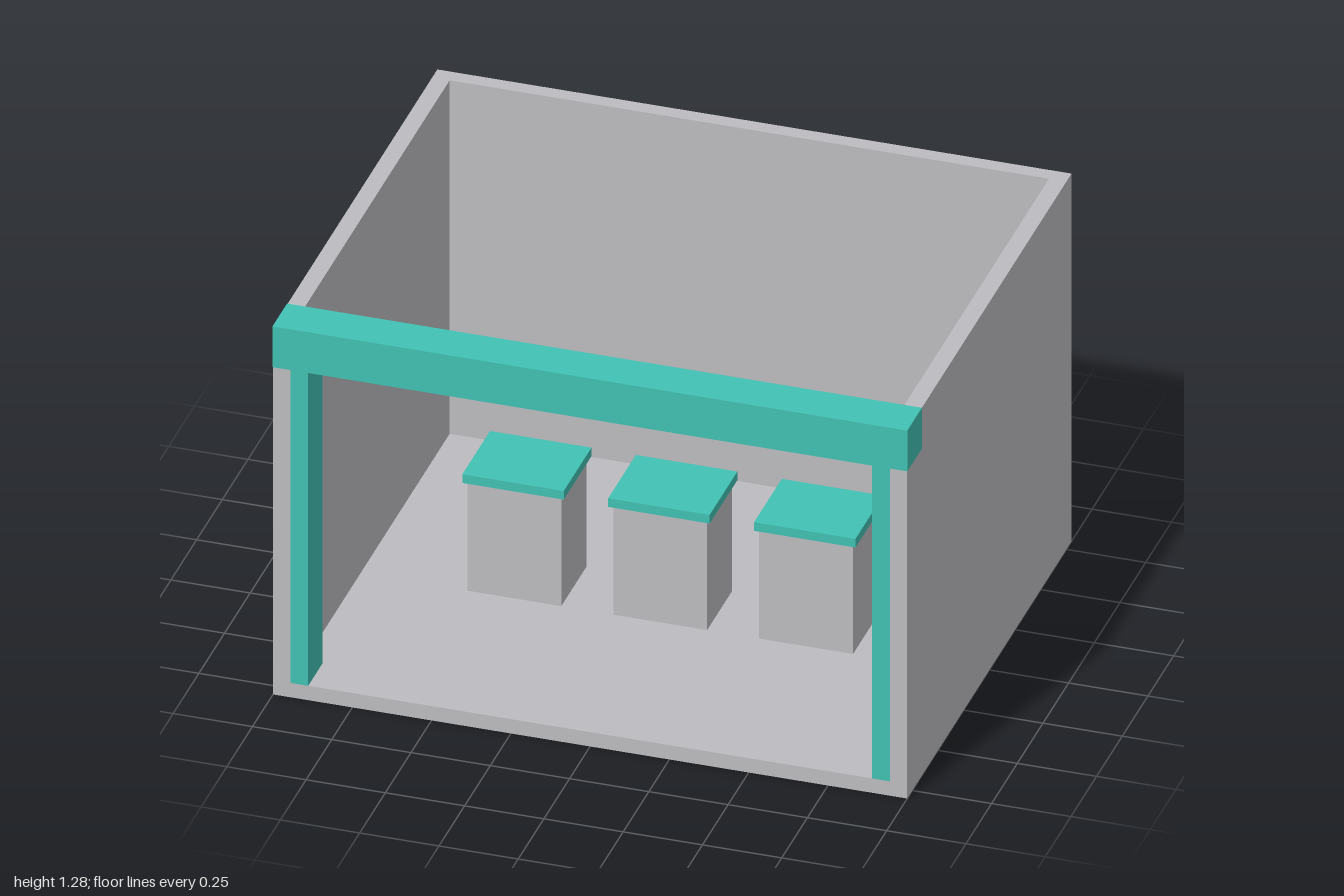
import * as THREE from 'three';

export function createModel() {
  const model = new THREE.Group();
  model.name = 'openRoom';
  const grey = new THREE.MeshStandardMaterial({ name: 'wall grey', color: 0xbcbcc0 });
  const teal = new THREE.MeshStandardMaterial({ name: 'teal trim', color: 0x41c1b3 });

  function add(parent, name, geometry, material) {
    const mesh = new THREE.Mesh(geometry, material);
    mesh.name = name;
    parent.add(mesh);
    return mesh;
  }
  // Box given by its lower and upper limits on each axis
  function box(parent, name, material, [x0, x1], [y0, y1], [z0, z1]) {
    const mesh = add(parent, name, new THREE.BoxGeometry(x1 - x0, y1 - y0, z1 - z0), material);
    mesh.position.set((x0 + x1) / 2, (y0 + y1) / 2, (z0 + z1) / 2);
  }

  // Floor slab
  box(model, 'floor', grey, [-1, 1], [0, 0.05], [-0.8, 0.8]);

  // Side and back walls as one U-shaped plan; shape y becomes -z
  const plan = new THREE.Shape([
    [-1, -0.8], [-0.945, -0.8], [-0.945, 0.75], [0.945, 0.75],
    [0.945, -0.8], [1, -0.8], [1, 0.8], [-1, 0.8],
  ].map(([x, y]) => new THREE.Vector2(x, y)));
  const walls = new THREE.ExtrudeGeometry(plan, { depth: 1.23, bevelEnabled: false });
  walls.rotateX(-Math.PI / 2).translate(0, 0.05, 0);
  add(model, 'walls', walls, grey);

  // Front frame: lintel wrapping the wall ends, and a post inside each wall
  box(model, 'lintel', teal, [-1.001, 1.001], [1.14, 1.282], [0.66, 0.802]);
  for (const [name, x] of [['rightPost', -0.917], ['leftPost', 0.917]]) {
    box(model, name, teal, [x - 0.028, x + 0.028], [0.05, 1.14], [0.66, 0.8]);
  }

  // Row of pedestals with overhanging tops
  for (const x of [-0.46, 0, 0.46]) {
    const pedestal = new THREE.Group();
    pedestal.name = 'pedestal';
    pedestal.position.set(x, 0, -0.005);
    box(pedestal, 'pedestalBase', grey, [-0.148, 0.148], [0.05, 0.43], [-0.122, 0.122]);
    box(pedestal, 'pedestalTop', teal, [-0.16, 0.16], [0.43, 0.46], [-0.135, 0.135]);
    model.add(pedestal);
  }
  return model;
}
